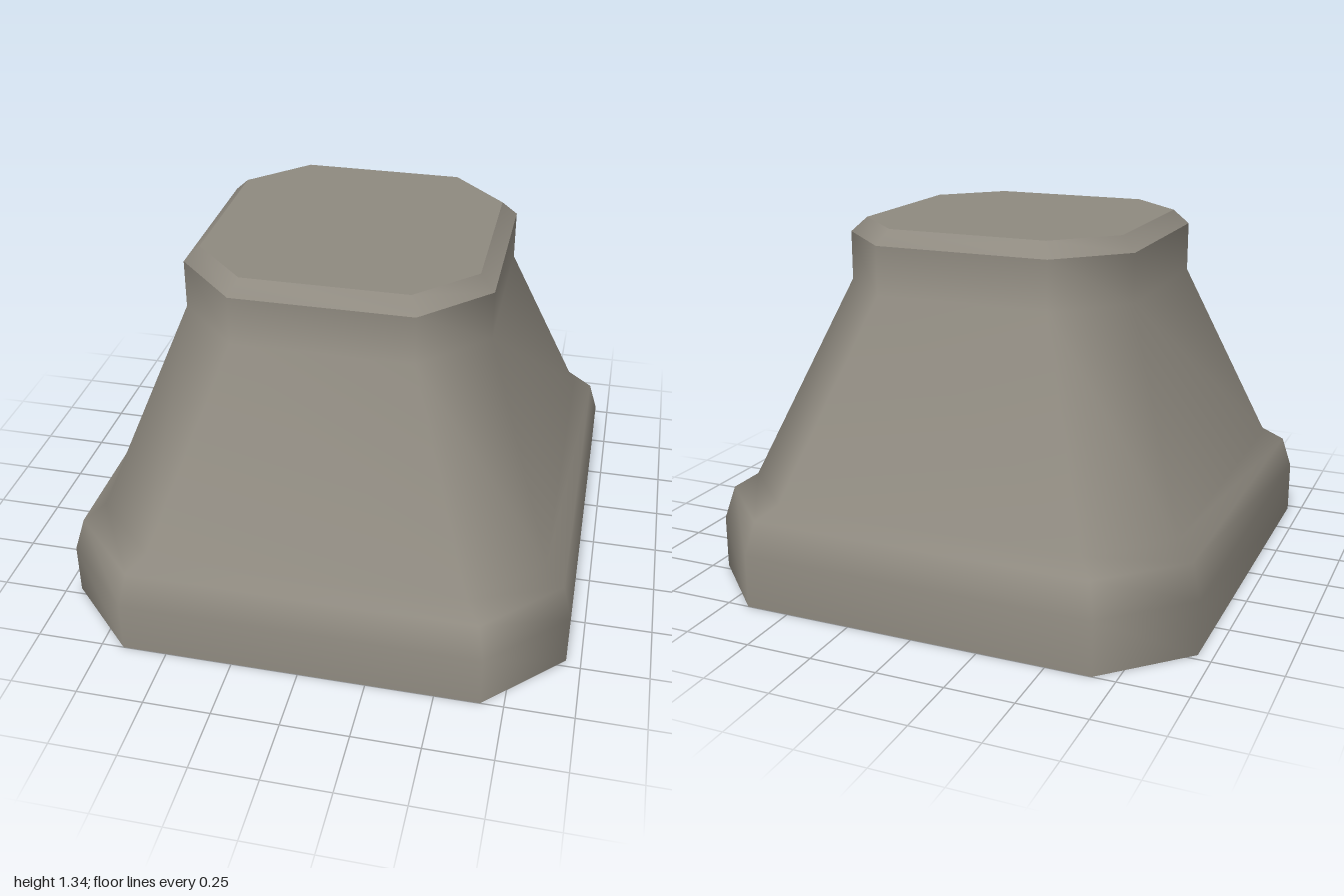
import * as THREE from 'three';

// Chamfered rectangle ring: half width, half depth, corner cut, height
function ring([w, d, c, y]) {
  return [
    [w, -(d - c)], [w, d - c], [w - c, d], [-(w - c), d],
    [-w, d - c], [-w, -(d - c)], [-(w - c), -d], [w - c, -d],
  ].map(([x, z]) => [x, y, z]);
}

// Skin a stack of rings, with shared vertices for smooth normals
function loft(sections, capped = false) {
  const pos = sections.flatMap((s) => ring(s).flat());
  const index = [];
  for (let r = 0; r < sections.length - 1; r++) {
    for (let i = 0; i < 8; i++) {
      const j = (i + 1) % 8;
      const a = r * 8 + i, b = r * 8 + j, c = b + 8, d = a + 8;
      index.push(a, d, c, a, c, b);
    }
  }
  if (capped) for (let i = 1; i < 7; i++) index.push(0, i + 1, i);
  const geo = new THREE.BufferGeometry();
  geo.setAttribute('position', new THREE.Float32BufferAttribute(pos, 3));
  geo.setIndex(index);
  geo.computeVertexNormals();
  return geo;
}

export function createModel() {
  const group = new THREE.Group();
  group.name = 'pedestal';
  const stone = new THREE.MeshStandardMaterial({ color: 0x8f8a80, side: THREE.DoubleSide });
  stone.name = 'warm grey';

  const add = (name, geo) => {
    const mesh = new THREE.Mesh(geo, stone);
    mesh.name = name;
    group.add(mesh);
  };

  const collar = [0.565, 0.57, 0.235, 1.283];
  const lid = [0.51, 0.515, 0.207, 1.337];

  // Hollow body, open underneath: foot band, shoulder, tapering sides, neck
  add('body', loft([
    [0.946, 1.0, 0.28, 0],
    [0.946, 1.0, 0.28, 0.2],
    [0.912, 0.965, 0.27, 0.323],
    [0.84, 0.893, 0.255, 0.37],
    [0.565, 0.57, 0.235, 1.1],
    collar,
  ]));

  // Bevelled rim and flat lid
  add('topBevel', loft([collar, lid]));
  add('topLid', loft([lid], true));

  return group;
}
